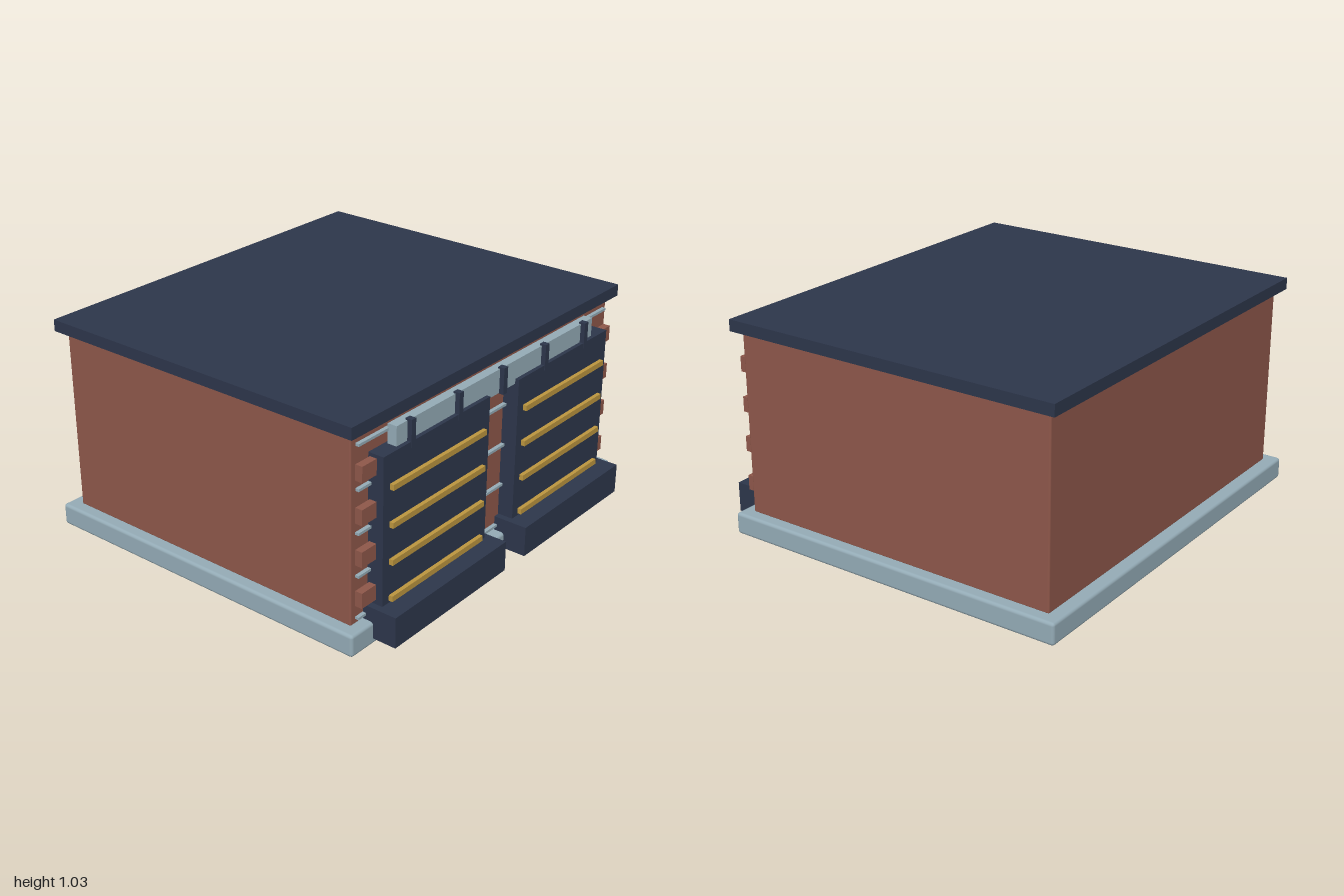
import * as THREE from 'three';
import { RoundedBoxGeometry } from 'three/addons/geometries/RoundedBoxGeometry.js';

const flat = (name, color) => {
  const m = new THREE.MeshStandardMaterial({ color });
  m.name = name;
  return m;
};

export function createModel() {
  const brick = flat('brick red', 0x8e574a);
  const navy = flat('dark navy', 0x2d364b);
  const stone = flat('pale blue stone', 0x94abb6);
  const gold = flat('gold', 0xbc963f);
  const model = new THREE.Group();
  model.name = 'depotBuilding';

  // Box from its limits on each axis, optionally with a rounded edge
  const box = (name, mat, [x0, x1], [y0, y1], [z0, z1], radius = 0) => {
    const size = [x1 - x0, y1 - y0, z1 - z0];
    const geo = radius ? new RoundedBoxGeometry(...size, 2, radius) : new THREE.BoxGeometry(...size);
    const mesh = new THREE.Mesh(geo, mat);
    mesh.name = name;
    mesh.position.set((x0 + x1) / 2, (y0 + y1) / 2, (z0 + z1) / 2);
    model.add(mesh);
  };
  // The same box on both sides of x = 0
  const pair = (name, mat, [x0, x1], y, z) => {
    box(name + 'Left', mat, [x0, x1], y, z);
    box(name + 'Right', mat, [-x1, -x0], y, z);
  };

  // Main masses
  box('base', stone, [-1, 1], [0, 0.105], [-0.928, 0.813], 0.015);
  box('walls', brick, [-0.94, 0.94], [0.1, 0.98], [-0.865, 0.757], 0.008);
  box('roof', navy, [-0.978, 0.978], [0.975, 1.03], [-0.907, 0.795]);

  // Mortar courses across the front
  for (let i = 0; i < 5; i++) {
    const y = 0.13 + i * 0.198;
    box('mortarCourse', stone, [-0.91, 0.91], [y - 0.006, y + 0.006], [0.755, 0.775]);
  }

  // Corner blocks
  for (let i = 0; i < 4; i++) {
    const y = 0.23 + i * 0.192;
    pair('cornerBlock', brick, [0.78, 0.92], [y - 0.036, y + 0.036], [0.765, 0.8]);
  }

  // Lintel and its brackets
  box('lintel', stone, [-0.725, 0.725], [0.835, 0.947], [0.77, 0.815]);
  for (let i = -2; i <= 2; i++) {
    box('lintelBracket', navy, [i * 0.321 - 0.014, i * 0.321 + 0.014], [0.832, 0.955], [0.805, 0.837]);
  }

  // Doors, sills and gold slats
  pair('door', navy, [0.108, 0.83], [0.1, 0.858], [0.757, 0.834]);
  pair('doorSill', navy, [0.077, 0.862], [0.028, 0.173], [0.76, 0.928]);
  for (let i = 0; i < 4; i++) {
    const y = 0.196 + i * 0.172;
    pair('doorSlat', gold, [0.15, 0.788], [y - 0.013, y + 0.013], [0.828, 0.853]);
  }

  // Short posts on the base
  for (const x of [-0.62, 0, 0.62]) {
    box('basePost', navy, [x - 0.01, x + 0.01], [0.02, 0.095], [0.8, 0.83]);
  }
  return model;
}
